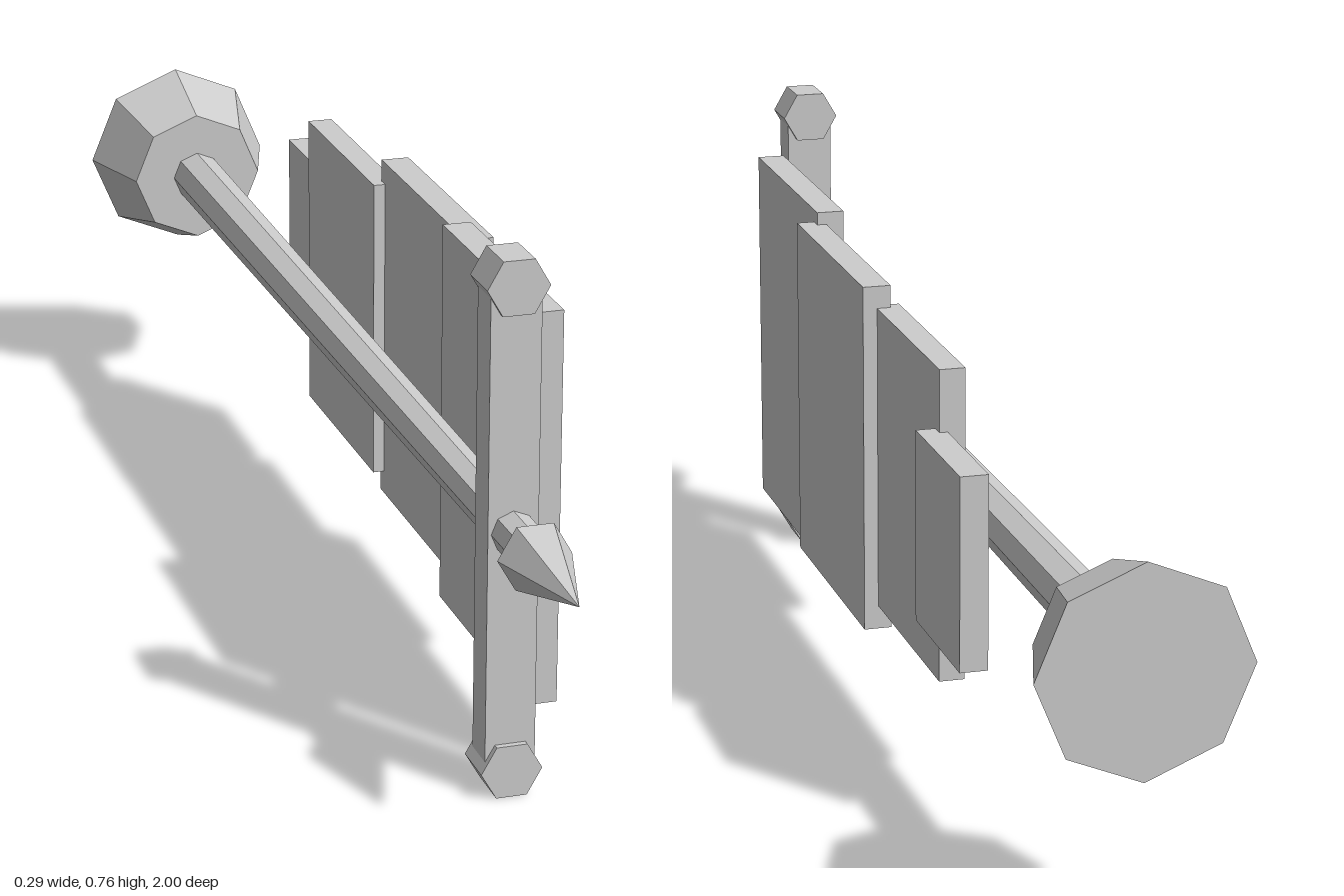
import * as THREE from 'three';

const AXIS_Y = 0.38; // height of the pole's centre line

export function createModel() {
  const group = new THREE.Group();
  const grey = new THREE.MeshStandardMaterial({ color: 0xcccccc, flatShading: true });
  grey.name = 'light grey';

  function add(name, geometry, x, y, z) {
    const mesh = new THREE.Mesh(geometry, grey);
    mesh.name = name;
    mesh.position.set(x, y, z);
    group.add(mesh);
  }

  // Faceted prism or cone along z, with a corner on the x axis
  function rod(name, rFront, rBack, zBack, zFront, sides, y = AXIS_Y) {
    const g = new THREE.CylinderGeometry(rFront, rBack, zFront - zBack, sides);
    g.rotateY(Math.PI / 2);
    g.rotateX(Math.PI / 2);
    add(name, g, 0, y, (zFront + zBack) / 2);
  }

  // Pole with flared foot and pointed tip
  rod('pole', 0.03, 0.04, -0.87, 0.84, 8);
  rod('flaredFoot', 0.105, 0.147, -1, -0.862, 8);
  rod('spearTip', 0, 0.051, 0.832, 1, 6);

  // Crossbar with a hexagonal knob at each end
  add('crossbar', new THREE.BoxGeometry(0.07, 0.66, 0.052), 0, AXIS_Y, 0.722);
  for (const side of [-1, 1]) {
    rod(side > 0 ? 'upperKnob' : 'lowerKnob', 0.043, 0.043, 0.688, 0.757, 6, AXIS_Y + side * 0.341);
  }

  // Overlapping banner panels: x range, y range, z range
  const panels = [
    [0.045, 0.086, 0.1, 0.66, 0.308, 0.69],
    [0.072, 0.113, 0.119, 0.641, -0.062, 0.328],
    [0.055, 0.092, 0.154, 0.608, -0.387, -0.045],
    [0.08, 0.12, 0.241, 0.518, -0.584, -0.366],
  ];
  panels.forEach(([x0, x1, y0, y1, z0, z1], i) => {
    add(`bannerPanel${i + 1}`, new THREE.BoxGeometry(x1 - x0, y1 - y0, z1 - z0),
      (x0 + x1) / 2, (y0 + y1) / 2, (z0 + z1) / 2);
  });

  return group;
}
